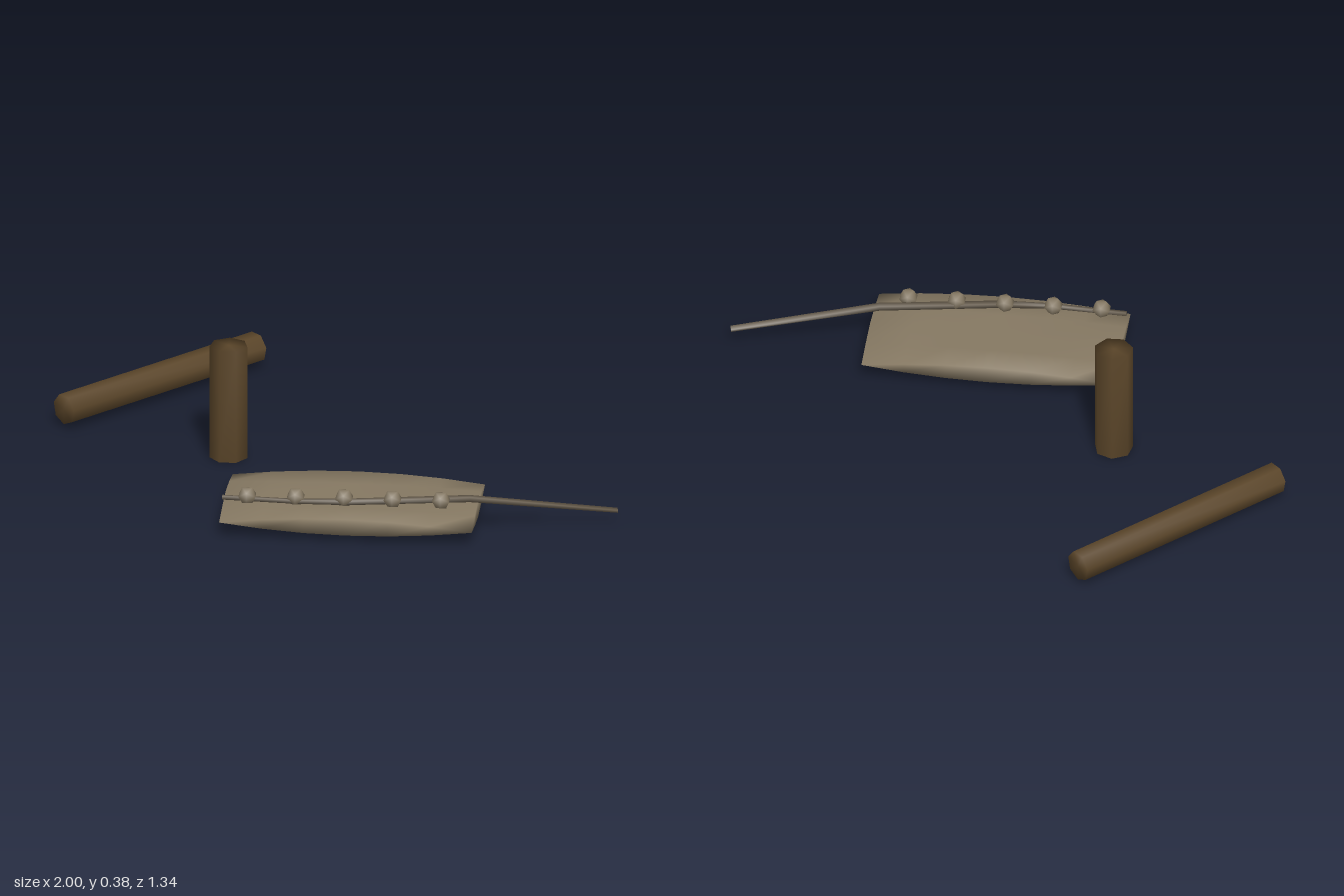
import * as THREE from 'three';
import { mergeVertices } from 'three/addons/utils/BufferGeometryUtils.js';

// Welds a geometry so its normals run smoothly over every edge
function soften(geometry) {
  geometry.deleteAttribute('uv');
  geometry.deleteAttribute('normal');
  const welded = mergeVertices(geometry, 1e-4);
  welded.computeVertexNormals();
  return welded;
}

// Flat strip swept through points [x, y, z, width, height]
function stripGeometry(points) {
  const pos = [], index = [];
  points.forEach(([x, y, z, w, h], i) => {
    const a = points[Math.max(i - 1, 0)], b = points[Math.min(i + 1, points.length - 1)];
    const dx = b[0] - a[0], dz = b[2] - a[2], len = Math.hypot(dx, dz);
    const sx = -dz / len * w / 2, sz = dx / len * w / 2;
    for (const [s, t] of [[1, 1], [-1, 1], [-1, -1], [1, -1]]) {
      pos.push(x + s * sx, y + t * h / 2, z + s * sz);
    }
    if (i === 0) return;
    for (let k = 0; k < 4; k++) {
      const p = (i - 1) * 4 + k, q = (i - 1) * 4 + (k + 1) % 4;
      index.push(p, p + 4, q, q, p + 4, q + 4);
    }
  });
  const e = (points.length - 1) * 4;
  index.push(0, 1, 2, 0, 2, 3, e, e + 2, e + 1, e, e + 3, e + 2);
  const g = new THREE.BufferGeometry();
  g.setAttribute('position', new THREE.Float32BufferAttribute(pos, 3));
  g.setIndex(index);
  g.computeVertexNormals();
  return g;
}

export function createModel() {
  const model = new THREE.Group();
  const material = (name, color, side = THREE.FrontSide) => {
    const m = new THREE.MeshStandardMaterial({ color, side });
    m.name = name;
    return m;
  };
  const wood = material('dark wood', 0x5a4529);
  const cloth = material('tan cloth', 0x857862);
  const cordMat = material('cord', 0x635848, THREE.DoubleSide);

  const add = (name, geometry, mat, parent = model) => {
    const mesh = new THREE.Mesh(geometry, mat);
    mesh.name = name;
    parent.add(mesh);
    return mesh;
  };

  // Upright post
  const post = add('uprightPost', soften(new THREE.CylinderGeometry(0.0625, 0.0625, 0.385, 7)), wood);
  post.position.set(-0.375, 0.1925, 0.052);

  // Lying log, one corner of its seven sides pointing down
  const logGeometry = new THREE.CylinderGeometry(0.051, 0.051, 0.81, 7);
  logGeometry.rotateX(Math.PI / 2);
  const log = add('lyingLog', soften(logGeometry), wood);
  log.position.set(-0.811, 0.062, -0.28);
  log.rotation.y = Math.PI - 0.36;

  // Cushion: a slab whose four corners are pinched to its mid plane
  const slab = new THREE.BoxGeometry(0.814, 0.055, 0.407, 6, 1, 4);
  const p = slab.attributes.position;
  for (let i = 0; i < p.count; i++) {
    const u = Math.abs(p.getX(i)) / 0.407, v = Math.abs(p.getZ(i)) / 0.2035;
    p.setY(i, p.getY(i) * (1 - u ** 2 * v ** 1.5));
  }
  const cushion = add('cushion', soften(slab), cloth);
  cushion.position.set(0.225, 0.0525, 0.318);
  cushion.rotation.y = 0.4;

  // Cord running over the cushion and trailing off its end
  add('cord', stripGeometry([
    [-0.1, 0.108, 0.59, 0.012, 0.012],
    [0.12, 0.108, 0.507, 0.014, 0.012],
    [0.27, 0.108, 0.43, 0.022, 0.014],
    [0.6, 0.108, 0.215, 0.022, 0.016],
    [0.99, 0.046, -0.06, 0.024, 0.008],
  ]), cordMat);

  // Beads in an even row
  const beads = new THREE.Group();
  beads.name = 'beads';
  model.add(beads);
  const beadGeometry = soften(new THREE.IcosahedronGeometry(0.032, 0));
  for (let i = 0; i < 5; i++) {
    const bead = add('bead', beadGeometry, cloth, beads);
    bead.position.set(-0.025 + 0.141 * i, 0.119, 0.56 - 0.066 * i);
    bead.rotation.y = 0.4;
  }
  return model;
}
